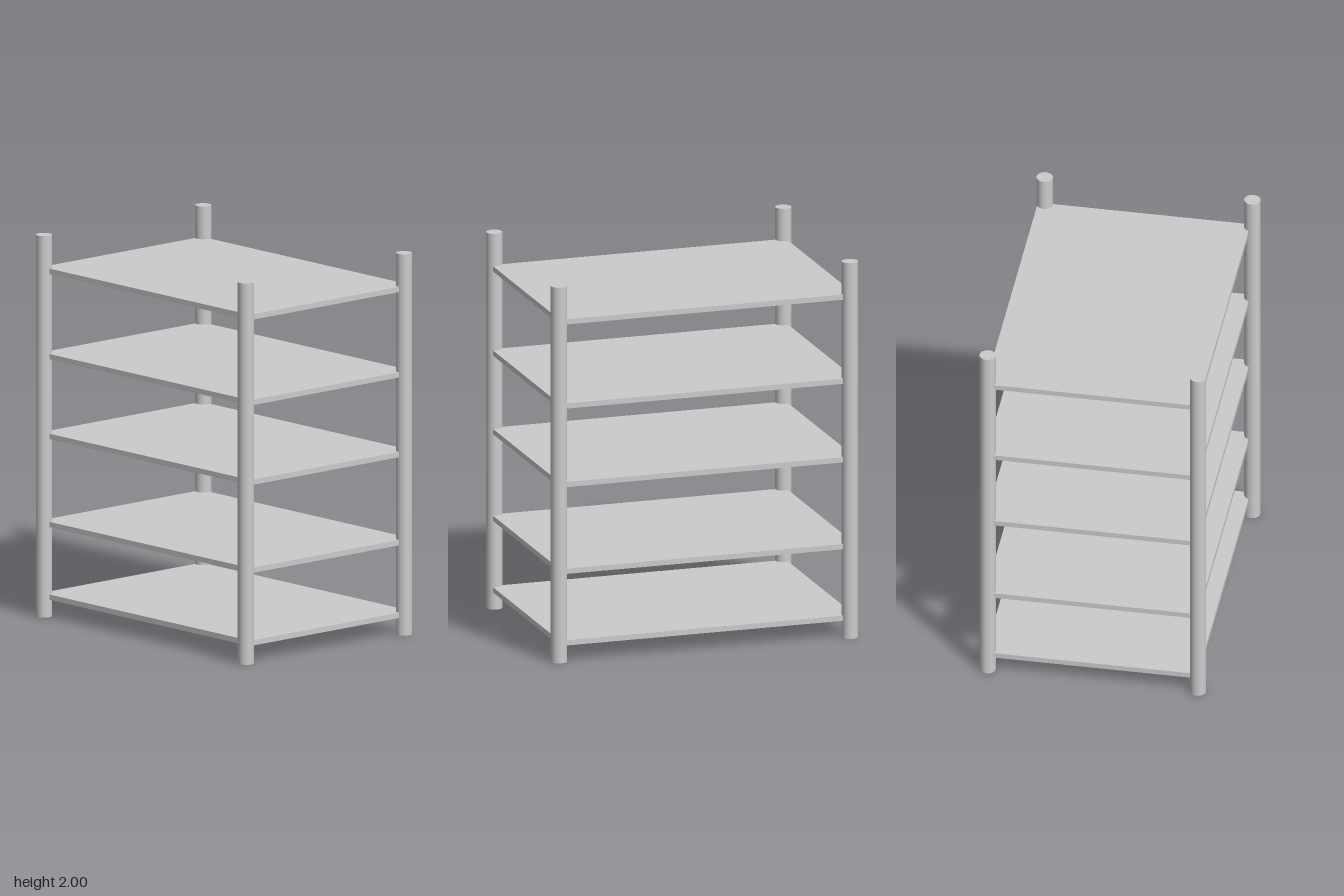
import * as THREE from 'three';

export function createModel() {
  const model = new THREE.Group();
  const material = new THREE.MeshStandardMaterial({ color: 0xcccccc });
  const add = (name, geometry, x, y, z) => {
    const mesh = new THREE.Mesh(geometry, material);
    mesh.name = name;
    mesh.position.set(x, y, z);
    model.add(mesh);
  };

  // Round corner posts, slightly out of square
  const post = new THREE.CylinderGeometry(0.042, 0.042, 2, 48);
  const posts = {
    frontLeftPost: [0.772, 0.555],
    frontRightPost: [-0.786, 0.541],
    backLeftPost: [0.784, -0.528],
    backRightPost: [-0.78, -0.555],
  };
  for (const [name, [x, z]] of Object.entries(posts)) add(name, post, x, 1, z);

  // Thin shelves, unevenly spaced
  const shelf = new THREE.BoxGeometry(1.592, 0.028, 1.106);
  [0.105, 0.486, 0.948, 1.366, 1.814].forEach((y, i) =>
    add(`shelf${i + 1}`, shelf, -0.005, y, -0.011));

  return model;
}
